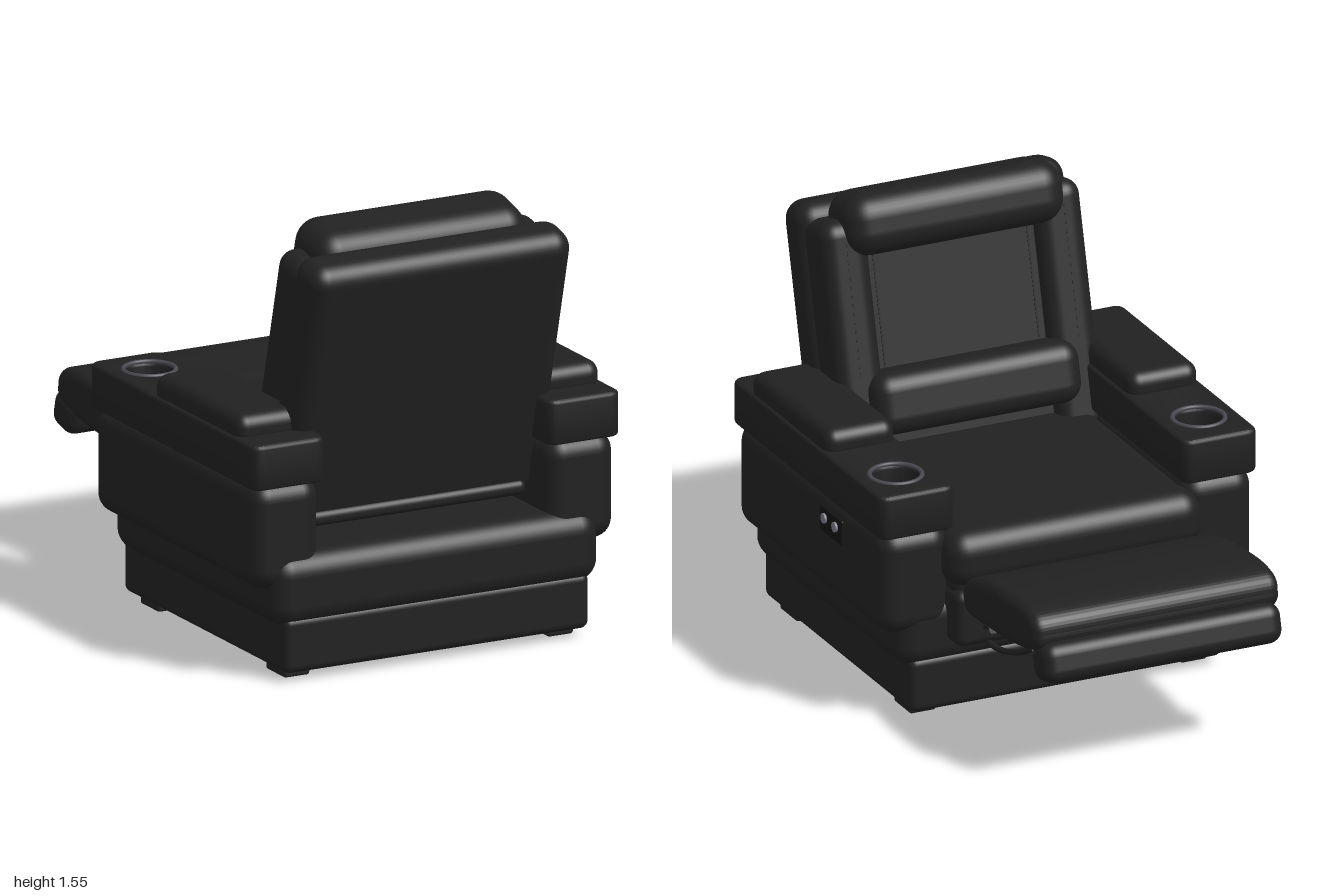
import * as THREE from 'three';
import { toCreasedNormals } from 'three/addons/utils/BufferGeometryUtils.js';
import { RoundedBoxGeometry } from 'three/addons/geometries/RoundedBoxGeometry.js';

const material = (name, color, side = THREE.FrontSide) => {
  const m = new THREE.MeshStandardMaterial({ color, side });
  m.name = name;
  return m;
};

export function createModel() {
  const leather = material('black leather', 0x212121);
  const dark = material('dark lining', 0x131313, THREE.DoubleSide);
  const metal = material('grey metal', 0x777784);
  const rim = material('dark metal rim', 0x484850);

  const model = new THREE.Group();
  model.name = 'recliner';
  const chair = new THREE.Group();
  chair.name = 'chair';
  chair.position.x = -0.005;
  model.add(chair);

  const add = (name, geometry, mat = leather, parent = chair) => {
    const mesh = new THREE.Mesh(geometry, mat);
    mesh.name = name;
    parent.add(mesh);
    return mesh;
  };
  // Rounded block given by its [min, max] on each axis
  const block = (name, [x0, x1], [y0, y1], [z0, z1], r, mat = leather, parent = chair) => {
    const mesh = add(name, new RoundedBoxGeometry(x1 - x0, y1 - y0, z1 - z0, 5, r), mat, parent);
    mesh.position.set((x0 + x1) / 2, (y0 + y1) / 2, (z0 + z1) / 2);
    return mesh;
  };
  const sides = [['left', 1], ['right', -1]];
  const span = (s, a, b) => (s > 0 ? [a, b] : [-b, -a]);

  // Plinth, feet and lower body
  block('plinth', [-0.59, 0.59], [0.03, 0.23], [-0.22, 0.94], 0.03);
  block('lowerBody', [-0.635, 0.635], [0.19, 0.45], [-0.23, 0.955], 0.08);
  for (const [side, s] of sides)
    for (const [z0, z1] of [[0.74, 0.875], [-0.15, -0.02]])
      block(side + 'Foot', span(s, 0.46, 0.56), [0, 0.04], [z0, z1], 0.01);

  // Seat with its overhanging front lip
  block('seatCushion', [-0.45, 0.45], [0.42, 0.69], [-0.29, 0.66], 0.05);
  block('seatLip', [-0.48, 0.48], [0.485, 0.69], [-0.318, -0.13], 0.08);
  block('frontPanel', [-0.46, 0.46], [0.28, 0.485], [-0.315, -0.15], 0.035);
  block('rearSeam', [-0.43, 0.43], [0.485, 0.54], [0.72, 0.785], 0.025);

  // Arm caps are plates with a round cup hole
  const capShape = () => {
    const w = 0.127, a = -0.925, b = 0.225, r = 0.03;
    const shape = new THREE.Shape();
    shape.moveTo(-w + r, a).lineTo(w - r, a).quadraticCurveTo(w, a, w, a + r);
    shape.lineTo(w, b - r).quadraticCurveTo(w, b, w - r, b);
    shape.lineTo(-w + r, b).quadraticCurveTo(-w, b, -w, b - r);
    shape.lineTo(-w, a + r).quadraticCurveTo(-w, a, -w + r, a);
    const hole = new THREE.Path();
    hole.absarc(0, 0.06, 0.096, 0, Math.PI * 2, true);
    shape.holes.push(hole);
    return shape;
  };
  const capGeometry = toCreasedNormals(new THREE.ExtrudeGeometry(capShape(), {
    depth: 0.13, bevelThickness: 0.015, bevelSize: 0.015, bevelSegments: 4, curveSegments: 32,
  }).rotateX(-Math.PI / 2), 0.6);
  const cupGeometry = new THREE.LatheGeometry(
    [[0, 0], [0.072, 0], [0.078, 0.01], [0.086, 0.145]].map(p => new THREE.Vector2(...p)), 40);

  for (const [side, s] of sides) {
    block(side + 'Arm', span(s, 0.44, 0.702), [0.33, 0.71], [-0.235, 0.93], 0.07);
    add(side + 'ArmCap', capGeometry).position.set(s * 0.571, 0.71, 0);
    const pad = block(side + 'ArmPad', span(s, 0.44, 0.703), [0.82, 0.945], [0.2, 0.815], 0.045);
    // Pad crown falls gently to its ends
    const p = pad.geometry.attributes.position;
    for (let i = 0; i < p.count; i++)
      if (p.getY(i) > 0) p.setY(i, p.getY(i) - 0.2 * p.getZ(i) ** 2);
    add(side + 'Cup', cupGeometry, dark).position.set(s * 0.571, 0.71, -0.06);
    const ring = add(side + 'CupRim', new THREE.TorusGeometry(0.09, 0.008, 10, 48).rotateX(Math.PI / 2), rim);
    ring.position.set(s * 0.571, 0.855, -0.06);
  }

  // Reclined backrest, built upright and tilted about its lower rear edge
  const back = new THREE.Group();
  back.name = 'backrest';
  back.position.set(0, 0.47, 0.755);
  back.rotation.x = 0.253;
  chair.add(back);
  block('backShell', [-0.506, 0.506], [0.0, 1.01], [-0.18, 0], 0.07, leather, back);
  block('backPanel', [-0.35, 0.35], [0.08, 0.93], [-0.262, -0.1], 0.04, leather, back);
  block('headrest', [-0.412, 0.412], [0.82, 1.04], [-0.39, -0.13], 0.09, leather, back);
  block('lumbarCushion', [-0.39, 0.39], [0.2, 0.42], [-0.4, -0.2], 0.07, leather, back);
  for (const [side, s] of sides) {
    block(side + 'Bolster', span(s, 0.315, 0.49), [0.08, 0.955], [-0.322, -0.12], 0.06, leather, back);
    const seam = add(side + 'PanelSeam', new THREE.BoxGeometry(0.006, 0.42, 0.004), dark, back);
    seam.position.set(s * 0.29, 0.62, -0.262);
    for (let i = 0; i < 16; i++) {
      const stitch = add(side + 'Stitch', new THREE.BoxGeometry(0.004, 0.014, 0.003), dark, back);
      stitch.position.set(s * 0.41, 0.42 + i * 0.03, -0.322);
    }
  }

  // Footrest pad: side profile swept across the width
  const profile = new THREE.Shape();
  profile.moveTo(0.38, 0.50);
  profile.splineThru([[0.40, 0.535], [0.56, 0.58], [0.77, 0.60], [0.87, 0.59], [0.89, 0.56],
    [0.87, 0.53], [0.7, 0.495], [0.43, 0.475], [0.39, 0.483], [0.38, 0.50]].map(q => new THREE.Vector2(...q)));
  const padGeometry = new THREE.ExtrudeGeometry(profile, {
    depth: 0.85, bevelThickness: 0.04, bevelSize: 0.04, bevelSegments: 6, curveSegments: 40,
  }).translate(0, 0, -0.425).rotateY(Math.PI / 2);
  add('footrestPad', toCreasedNormals(padGeometry, 0.7));
  const flap = block('footrestFlap', [-0.45, 0.45], [0.388, 0.532], [-0.993, -0.85], 0.05);
  flap.rotation.x = 0.25;

  // Footrest linkage
  const tube = (points, r) => new THREE.TubeGeometry(
    new THREE.CatmullRomCurve3(points.map(([y, z]) => new THREE.Vector3(0, y, z))), 24, r, 8);
  for (const [side, s] of sides) {
    add(side + 'UpperLink', tube([[0.33, -0.26], [0.385, -0.41], [0.41, -0.55], [0.445, -0.74]], 0.011)).position.x = s * 0.355;
    add(side + 'LowerLink', tube([[0.29, -0.22], [0.285, -0.36], [0.33, -0.52], [0.44, -0.74]], 0.011)).position.x = s * 0.335;
    for (const [y, z] of [[0.385, -0.41], [0.442, -0.74]]) {
      const bolt = add(side + 'Bolt', new THREE.CylinderGeometry(0.02, 0.02, 0.06, 16).rotateZ(Math.PI / 2), metal);
      bolt.position.set(s * 0.35, y, z);
    }
  }

  // Control plate with two buttons on the left arm
  block('controlPlate', [0.69, 0.709], [0.56, 0.65], [0.08, 0.25], 0.004, dark);
  for (const z of [0.21, 0.125]) {
    const button = add('controlButton', new THREE.CylinderGeometry(0.018, 0.018, 0.012, 20).rotateZ(Math.PI / 2), metal);
    button.position.set(0.711, 0.615, z);
  }
  return model;
}
